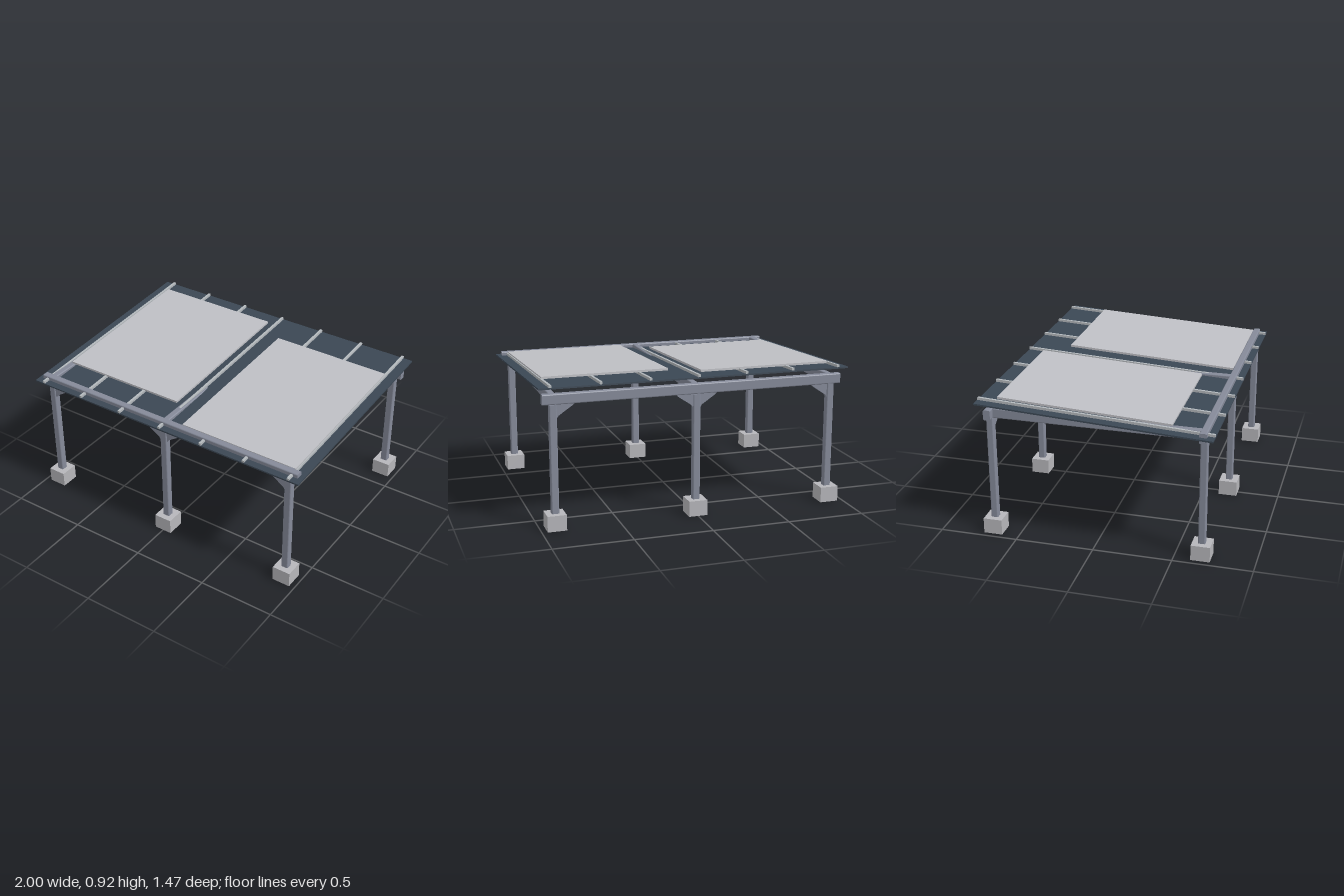
import * as THREE from 'three';

const mat = (name, color) => {
  const m = new THREE.MeshStandardMaterial({ color });
  m.name = name;
  return m;
};

export function createModel() {
  const root = new THREE.Group();
  root.name = 'carport';
  const steel = mat('steel', 0x858a99);
  const concrete = mat('concrete', 0xb6b6ba);
  const sheet = mat('roofSheet', 0x3b4754);
  const rail = mat('railMetal', 0xb3b8bc);
  const panelMat = mat('panel', 0xbebfc4);

  const add = (parent, name, geo, material, x = 0, y = 0, z = 0) => {
    const m = new THREE.Mesh(geo, material);
    m.name = name;
    m.position.set(x, y, z);
    parent.add(m);
    return m;
  };
  const box = (w, h, d) => new THREE.BoxGeometry(w, h, d);

  // Steel section with rounded edges, centred, running along z
  const section = (w, h, length, r = 0.008) => {
    const s = new THREE.Shape();
    const a = w / 2, b = h / 2;
    s.absarc(a - r, b - r, r, 0, Math.PI / 2);
    s.absarc(-a + r, b - r, r, Math.PI / 2, Math.PI);
    s.absarc(-a + r, -b + r, r, Math.PI, Math.PI * 1.5);
    s.absarc(a - r, -b + r, r, Math.PI * 1.5, Math.PI * 2);
    return new THREE.ExtrudeGeometry(s, { depth: length, bevelEnabled: false, curveSegments: 4 })
      .translate(0, 0, -length / 2);
  };

  // Knee brace plate, extending towards +x from the post axis
  const brace = new THREE.Shape();
  brace.moveTo(0.02, 0.785);
  brace.lineTo(0.02, 0.69);
  brace.lineTo(0.034, 0.712);
  brace.lineTo(0.118, 0.768);
  brace.lineTo(0.135, 0.785);
  brace.closePath();
  const braceGeo = new THREE.ExtrudeGeometry(brace, { depth: 0.03, bevelEnabled: false })
    .translate(0, 0, -0.015);

  const postX = [-0.905, 0, 0.905];
  const beamZ = 0.667;
  const postGeo = section(0.047, 0.045, 0.68).rotateX(Math.PI / 2);
  const beamGeo = section(0.045, 0.065, 1.94).rotateY(Math.PI / 2);
  const rafterGeo = section(0.042, 0.064, 1.3);

  // Post rows, footings, beams and braces
  for (const z of [beamZ, -beamZ]) {
    add(root, 'crossBeam', beamGeo, steel, 0, 0.8135, z);
    for (const x of postX) {
      add(root, 'post', postGeo, steel, x, 0.44, z);
      add(root, 'footing', box(0.12, 0.1, 0.12), concrete, x, 0.05, z);
      if (x < 0.5) add(root, 'kneeBrace', braceGeo, steel, x, 0, z);
      if (x > -0.5) add(root, 'kneeBrace', braceGeo, steel, x, 0, z).rotation.y = Math.PI;
    }
  }
  for (const x of postX) add(root, 'rafter', rafterGeo, steel, x, 0.8135, 0);

  // Sloping roof; local y = 0 is the top of the sheet
  const roof = new THREE.Group();
  roof.name = 'roof';
  roof.position.y = 0.857;
  roof.rotation.x = Math.atan(0.0545);
  root.add(roof);
  add(roof, 'roofSheet', box(2, 0.01, 1.47), sheet, 0, -0.005, 0);
  for (let i = -3; i <= 3; i++) {
    add(roof, 'roofRib', box(0.016, 0.016, 1.47), rail, i * 0.31, 0.008, 0);
  }

  // Flat panels on the ribs: x0, x1, z0, z1
  for (const [x0, x1, z0, z1] of [[-0.905, -0.05, -0.62, 0.47], [0.12, 0.93, -0.48, 0.645]]) {
    add(roof, 'panel', box(x1 - x0, 0.014, z1 - z0), panelMat, (x0 + x1) / 2, 0.018, (z0 + z1) / 2);
  }
  return root;
}
